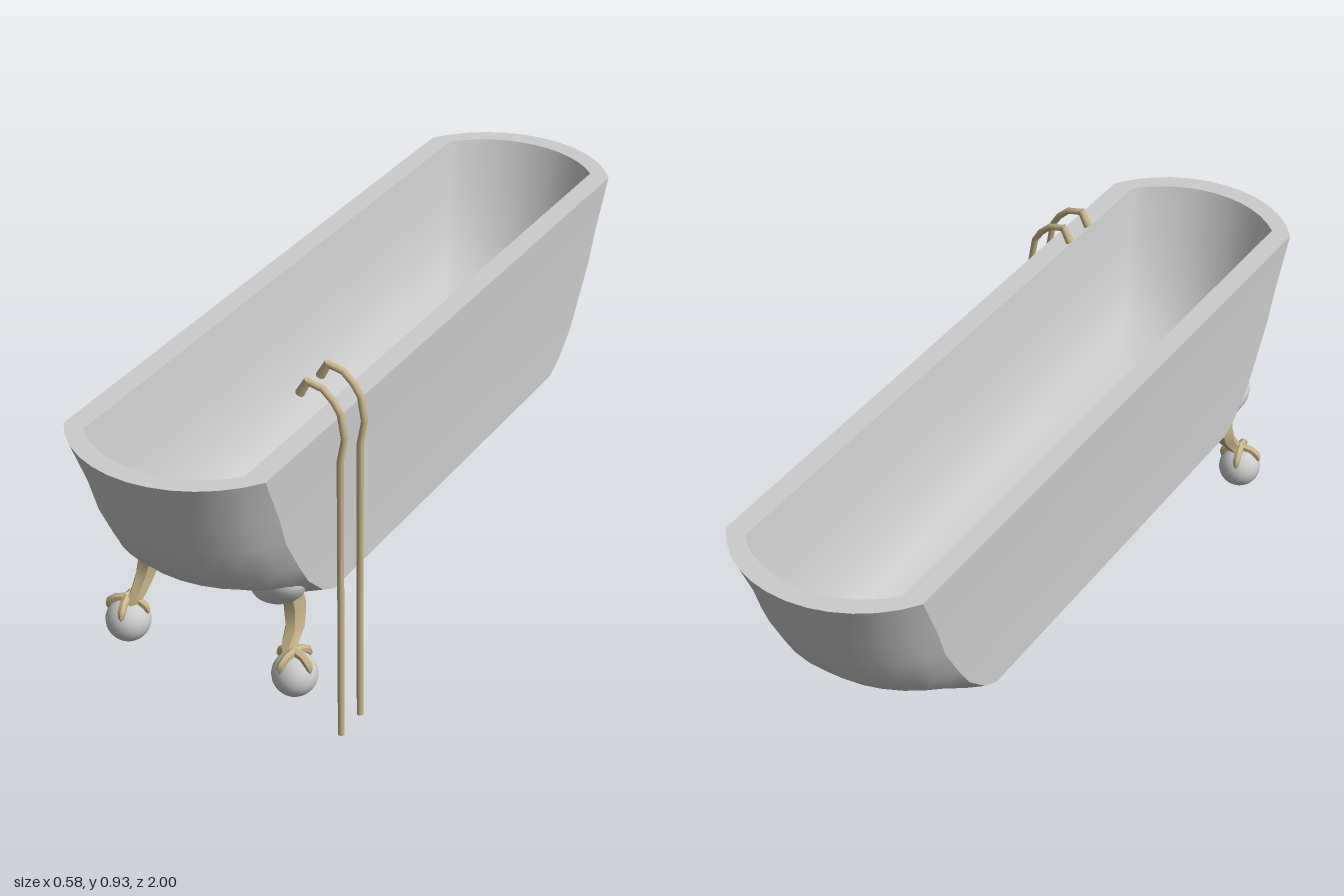
import * as THREE from 'three';
import { toCreasedNormals } from 'three/addons/utils/BufferGeometryUtils.js';

const grey = new THREE.MeshStandardMaterial({ color: 0xcccccc });
const brass = new THREE.MeshStandardMaterial({ color: 0xc8b48a });
const V = (x, y, z) => new THREE.Vector3(x, y, z);

function mesh(name, geometry, material) {
  const m = new THREE.Mesh(geometry, material);
  m.name = name;
  return m;
}

// Skin closed rings of points, each ring running anticlockwise seen from the far end
function loft(rings) {
  const n = rings[0].length, index = [];
  for (let i = 0; i < rings.length - 1; i++) {
    for (let j = 0; j < n; j++) {
      const k = (j + 1) % n, a = i * n, b = a + n;
      index.push(a + j, a + k, b + k, a + j, b + k, b + j);
    }
  }
  const g = new THREE.BufferGeometry().setFromPoints(rings.flat());
  g.setIndex(index);
  g.computeVertexNormals();
  return g;
}

// Plan outline of the tub: straight sides with a shallow circular arc at each end
function tubRing([y, half, corner, tip]) {
  const sag = tip - corner, steps = 12, ring = [];
  const R = (half * half + sag * sag) / (2 * sag);
  const sweep = Math.asin(half / R);
  for (const end of [1, -1]) {
    for (let i = 0; i <= steps; i++) {
      const a = sweep * (2 * i / steps - 1);
      ring.push(V(end * R * Math.sin(a), y, end * (tip - R + R * Math.cos(a))));
    }
  }
  return ring;
}

// One claw foot on the model's left; the other side is a mirror image
function makeFoot(name) {
  const foot = new THREE.Group();
  foot.name = name;

  const ball = mesh('ball', new THREE.SphereGeometry(0.054, 24, 16), grey);
  ball.position.set(0.225, 0.222, 0.68);
  foot.add(ball);

  // Flattened boss lying against the tub's lower corner
  const long = V(0.6, 0.58, 0.5).normalize();
  const out = V(0.3, -0.75, 0.6);
  const across = V().crossVectors(long, out).normalize();
  out.crossVectors(across, long);
  const boss = mesh('legBoss', new THREE.SphereGeometry(1, 20, 14).scale(0.09, 0.042, 0.06), grey);
  boss.quaternion.setFromRotationMatrix(new THREE.Matrix4().makeBasis(long, out, across));
  boss.position.set(0.17, 0.428, 0.655);
  foot.add(boss);

  // Leg stations: y, centre x, centre z, half width, half depth
  const stations = [
    [0.272, 0.214, 0.678, 0.020, 0.022], [0.292, 0.205, 0.665, 0.020, 0.024],
    [0.325, 0.203, 0.637, 0.024, 0.026], [0.365, 0.196, 0.626, 0.029, 0.028],
    [0.412, 0.193, 0.632, 0.026, 0.026],
  ];
  const leg = loft(stations.map(([y, x, z, rx, rz]) =>
    Array.from({ length: 6 }, (_, i) => {
      const a = -i * Math.PI / 3;
      return V(x + rx * Math.cos(a), y, z + rz * Math.sin(a));
    })));
  foot.add(mesh('leg', toCreasedNormals(leg, 0.6), brass));

  // Toes arch off the ankle and curl over the ball, tapering to a claw.
  // Stations: angle from the top of the ball, distance from its centre, thickness
  const knuckles = [[0.05, 0.060, 0.011], [0.45, 0.062, 0.010], [0.8, 0.061, 0.010],
    [1.0, 0.058, 0.007], [1.15, 0.055, 0.001]];
  const toeGeometry = toCreasedNormals(loft(knuckles.map(([p, reach, thick]) =>
    Array.from({ length: 6 }, (_, j) => {
      const a = j * Math.PI / 3, r = reach + thick * Math.cos(a);
      return V(r * Math.sin(p), r * Math.cos(p), thick * Math.sin(a));
    }))), 0.6);
  for (let t = 0; t < 4; t++) {
    const toe = mesh('toe', toeGeometry, brass);
    toe.rotation.y = t * Math.PI / 2 - 0.25;
    toe.position.copy(ball.position);
    foot.add(toe);
  }
  return foot;
}

function makePipe(z) {
  const pipe = new THREE.Group();
  pipe.name = 'tapPipe';
  // Straight riser, bent neck
  const bend = [[0.271, 0], [0.271, 0.74], [0.282, 0.8], [0.272, 0.86], [0.255, 0.887],
    [0.228, 0.912], [0.188, 0.92]];
  const rings = bend.map(([x, y], i) => {
    const [x0, y0] = bend[Math.max(i - 1, 0)], [x1, y1] = bend[Math.min(i + 1, bend.length - 1)];
    const d = Math.hypot(x1 - x0, y1 - y0), nx = (y1 - y0) / d, ny = (x0 - x1) / d;
    return Array.from({ length: 10 }, (_, j) => {
      const a = -j * Math.PI / 5, c = 0.008 * Math.cos(a);
      return V(x + nx * c, y + ny * c, 0.008 * Math.sin(a));
    });
  });
  pipe.add(mesh('riser', loft(rings), brass));

  // Short spout turned down over the tub
  const spout = mesh('spout', new THREE.CylinderGeometry(0.009, 0.011, 0.045, 10), brass);
  spout.position.set(0.181, 0.905, 0);
  spout.rotation.z = -0.5;
  pipe.add(spout);
  const foot = mesh('riserEnd', new THREE.CircleGeometry(0.008, 10).rotateX(Math.PI / 2), brass);
  foot.position.x = 0.271;
  pipe.add(foot);
  pipe.position.z = z;
  return pipe;
}

export function createModel() {
  const model = new THREE.Group();
  model.name = 'bathtub';

  // Tub levels: height, half width, z of the corners, z of the end
  const bellyLevels = [
    [0.345, 0, 0.38, 0.381], [0.345, 0.185, 0.42, 0.48], [0.363, 0.222, 0.48, 0.56],
    [0.395, 0.249, 0.56, 0.66],
  ];
  const wallLevels = [
    [0.395, 0.249, 0.56, 0.66], [0.42, 0.249, 0.61, 0.71], [0.48, 0.249, 0.675, 0.81],
    [0.54, 0.249, 0.715, 0.865], [0.63, 0.25, 0.77, 0.913], [0.71, 0.252, 0.80, 0.94],
    [0.837, 0.256, 0.86, 1.0], [0.837, 0.204, 0.86, 0.95],
  ];
  const basinLevels = [
    [0.837, 0.204, 0.86, 0.95], [0.72, 0.192, 0.825, 0.905], [0.61, 0.168, 0.775, 0.84],
    [0.53, 0.14, 0.72, 0.775], [0.485, 0.105, 0.65, 0.69], [0.475, 0, 0.55, 0.551],
  ];
  const shell = levels => loft(levels.map(tubRing));
  model.add(mesh('belly', shell(bellyLevels), grey));
  model.add(mesh('outerWallAndRim', toCreasedNormals(shell(wallLevels), 0.5), grey));
  model.add(mesh('basin', shell(basinLevels), grey));

  // Pair of claw feet under the front end
  const leftFoot = makeFoot('leftFoot'), rightFoot = makeFoot('rightFoot');
  rightFoot.scale.x = -1;
  for (const foot of [leftFoot, rightFoot]) {
    foot.position.x = -0.012;
    model.add(foot);
  }

  // Two free-standing tap pipes on the left side
  for (const z of [0.57, 0.48]) model.add(makePipe(z));
  return model;
}
